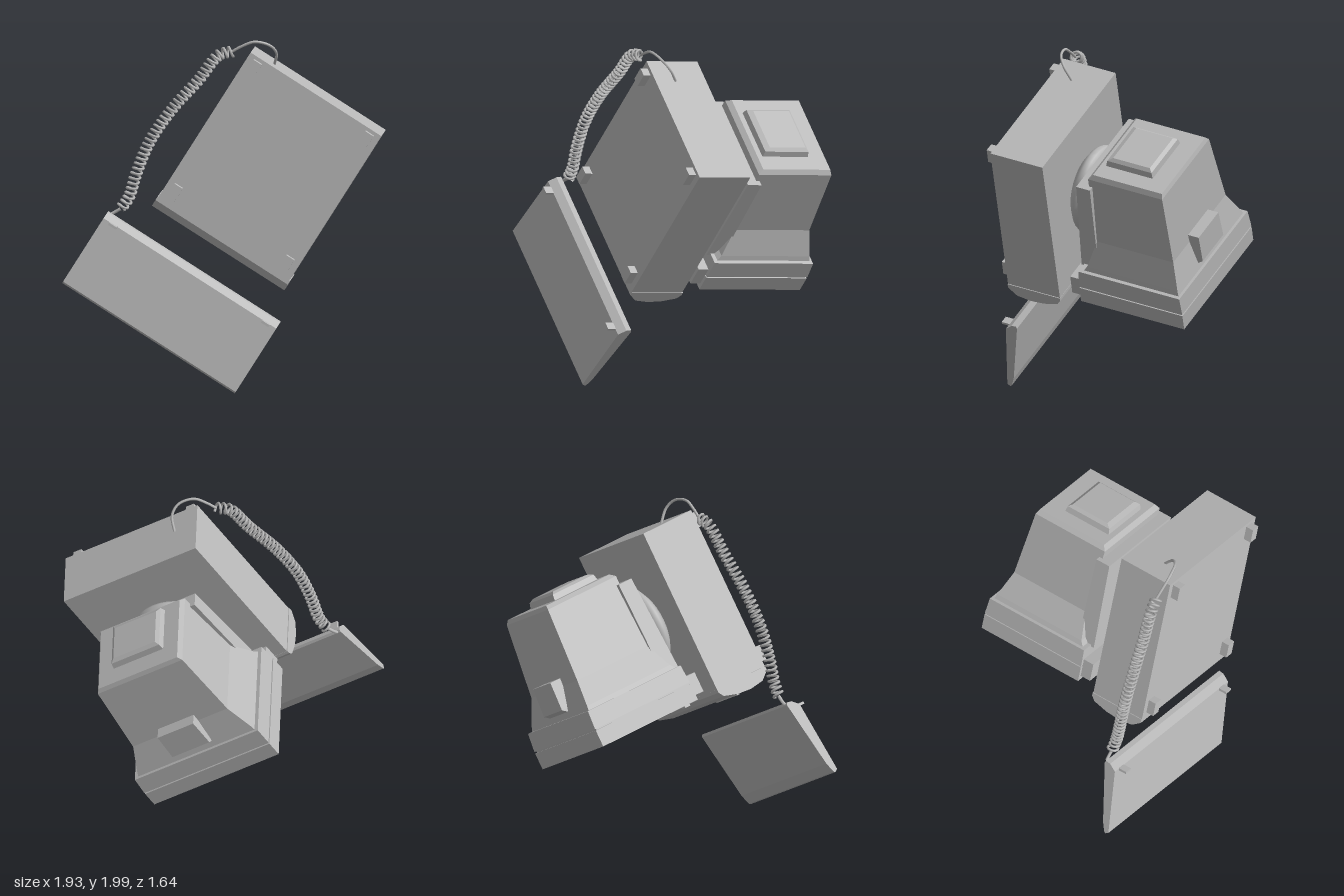
import * as THREE from 'three';

const grey = new THREE.MeshStandardMaterial({ color: 0xb8b8b8 });
grey.name = 'office grey';

function add(parent, name, geometry, x = 0, y = 0, z = 0) {
  const mesh = new THREE.Mesh(geometry, grey);
  mesh.name = name;
  mesh.position.set(x, y, z);
  parent.add(mesh);
  return mesh;
}

const box = (w, h, d) => new THREE.BoxGeometry(w, h, d);

// Closed faceted solid through rectangles [z, halfWidth, bottom, top], back to front
function loft(sections) {
  const rings = sections.map(([z, w, y0, y1]) => [[w, y0, z], [w, y1, z], [-w, y1, z], [-w, y0, z]]);
  const pos = [];
  const quad = (a, b, c, d) => pos.push(...a, ...b, ...c, ...a, ...c, ...d);
  for (let i = 0; i + 1 < rings.length; i++) {
    const a = rings[i], b = rings[i + 1];
    for (let j = 0; j < 4; j++) {
      const k = (j + 1) % 4;
      quad(a[j], a[k], b[k], b[j]);
    }
  }
  const first = rings[0], last = rings[rings.length - 1];
  quad(...last);
  quad(first[3], first[2], first[1], first[0]);
  const g = new THREE.BufferGeometry();
  g.setAttribute('position', new THREE.Float32BufferAttribute(pos, 3));
  g.computeVertexNormals();
  return g;
}

// Side profile of [z, y] points pulled across the width
function sideExtrude(points, width) {
  const shape = new THREE.Shape(points.map(([z, y]) => new THREE.Vector2(z, y)));
  const g = new THREE.ExtrudeGeometry(shape, { depth: width, bevelEnabled: false });
  return g.rotateY(-Math.PI / 2).translate(width / 2, 0, 0);
}

function buildCase() {
  const unit = new THREE.Group();
  unit.name = 'computerCase';
  add(unit, 'caseBody', box(0.89, 0.34, 0.99), 0, 0.17, -0.01);
  // Bulging front fascia
  add(unit, 'frontFascia', sideExtrude([[0.485, 0], [0.51, 0], [0.555, 0.055], [0.567, 0.142],
    [0.56, 0.23], [0.535, 0.32], [0.505, 0.342], [0.485, 0.342]], 0.9));
  add(unit, 'driveSlot', box(0.28, 0.02, 0.008), 0.22, 0.19, 0.565);
  for (const sx of [-1, 1]) {
    for (const z of [-0.44, 0.41]) add(unit, 'foot', box(0.055, 0.05, 0.09), sx * 0.38, -0.022, z);
  }
  return unit;
}

function buildMonitor() {
  const unit = new THREE.Group();
  unit.name = 'monitor';
  // Swivel stand
  const profile = [[0, 0.335], [0.2, 0.335], [0.25, 0.37], [0.26, 0.39], [0.26, 0.42], [0.22, 0.45], [0, 0.47]];
  add(unit, 'swivelStand', new THREE.LatheGeometry(profile.map(p => new THREE.Vector2(...p)), 32));
  add(unit, 'undersidePanel', loft([[-0.3, 0.32, 0.47, 0.56], [0.28, 0.34, 0.45, 0.56]]));
  // Tapered housing flaring out to the bezel
  add(unit, 'housing', loft([
    [-0.375, 0.265, 0.56, 1.01], [-0.35, 0.285, 0.535, 1.02], [0.088, 0.318, 0.56, 1.06],
    [0.24, 0.383, 0.515, 1.105], [0.275, 0.395, 0.49, 1.115],
  ]));
  add(unit, 'rearBulge', loft([[-0.425, 0.14, 0.63, 0.87], [-0.41, 0.16, 0.6, 0.89], [-0.36, 0.17, 0.59, 0.9]]));
  add(unit, 'topHump', loft([[0.04, 0.12, 1, 1.125], [0.21, 0.125, 1, 1.135], [0.235, 0.125, 1, 1.1]]));
  // Bezel in two halves with a seam between
  add(unit, 'rearBezel', loft([[0.268, 0.415, 0.47, 1.13], [0.378, 0.42, 0.465, 1.14]]));
  add(unit, 'bezelSeam', box(0.825, 0.66, 0.02), 0, 0.8, 0.382);
  const frame = new THREE.Shape([[-0.42, 0.465], [0.42, 0.465], [0.42, 1.14], [-0.42, 1.14]]
    .map(p => new THREE.Vector2(...p)));
  frame.holes.push(new THREE.Path([[-0.33, 0.57], [-0.33, 1.06], [0.33, 1.06], [0.33, 0.57]]
    .map(p => new THREE.Vector2(...p))));
  add(unit, 'frontBezel', new THREE.ExtrudeGeometry(frame, { depth: 0.1, bevelEnabled: false }), 0, 0, 0.388);
  // Gently domed glass
  const glass = new THREE.PlaneGeometry(0.66, 0.49, 16, 12);
  const p = glass.attributes.position;
  for (let i = 0; i < p.count; i++) {
    const u = p.getX(i) / 0.33, v = p.getY(i) / 0.245;
    p.setZ(i, 0.055 - 0.03 * u * u - 0.02 * v * v);
  }
  glass.computeVertexNormals();
  add(unit, 'screenGlass', glass, 0, 0.815, 0.395);
  // Chin with controls
  add(unit, 'chin', box(0.8, 0.07, 0.12), 0, 0.435, 0.4);
  for (let i = 0; i < 4; i++) add(unit, 'controlButton', box(0.035, 0.02, 0.012), -0.06 + i * 0.06, 0.515, 0.491);
  add(unit, 'powerButton', box(0.05, 0.035, 0.02), 0.34, 0.515, 0.492);
  return unit;
}

function buildKeyboard() {
  const unit = new THREE.Group();
  unit.name = 'keyboard';
  unit.position.x = 0.057;
  add(unit, 'keyboardWedge', sideExtrude([[0.725, 0.04], [0.76, 0.0], [1.19, -0.04], [1.202, -0.022],
    [1.195, -0.012], [1.135, 0.008], [0.735, 0.076], [0.72, 0.07]], 1.175));
  for (const sx of [-1, 1]) {
    add(unit, 'keyboardFoot', box(0.05, 0.06, 0.014), sx * 0.52, -0.02, 0.765);
  }
  return unit;
}

// Plain lead from the case, then a coiled run down to the keyboard
function buildCord() {
  const cord = new THREE.Group();
  cord.name = 'keyboardCord';
  const curve = pts => new THREE.CatmullRomCurve3(pts.map(q => new THREE.Vector3(...q)));
  const lead = curve([[0.075, 1.83, 0.2], [0.05, 1.91, 0.24], [0, 1.965, 0.235], [-0.07, 1.99, 0.18],
    [-0.12, 1.96, 0.12], [-0.15, 1.93, 0.08]]);
  add(cord, 'lead', new THREE.TubeGeometry(lead, 30, 0.008, 6));
  const axis = curve([[-0.15, 1.93, 0.08], [-0.21, 1.91, 0.03], [-0.3, 1.77, -0.04], [-0.42, 1.6, -0.137],
    [-0.52, 1.41, -0.22], [-0.58, 1.22, -0.27], [-0.61, 1.08, -0.3], [-0.64, 1.01, -0.335]]);
  const turns = 38, steps = turns * 10;
  const frames = axis.computeFrenetFrames(steps);
  const coil = [];
  for (let i = 0; i <= steps; i++) {
    const angle = (i / 10) * Math.PI * 2;
    coil.push(axis.getPointAt(i / steps)
      .addScaledVector(frames.normals[i], 0.03 * Math.cos(angle))
      .addScaledVector(frames.binormals[i], 0.03 * Math.sin(angle)));
  }
  add(cord, 'coil', new THREE.TubeGeometry(new THREE.CatmullRomCurve3(coil), steps, 0.008, 5));
  const plug = curve([[-0.64, 1.01, -0.335], [-0.66, 0.99, -0.36], [-0.68, 0.975, -0.38]]);
  add(cord, 'plugLead', new THREE.TubeGeometry(plug, 6, 0.01, 6));
  return cord;
}

export function createModel() {
  const model = new THREE.Group();
  model.name = 'desktopComputer';
  // The whole set tumbles through the air as one
  const set = new THREE.Group();
  set.name = 'tumblingSet';
  set.add(buildCase(), buildMonitor(), buildKeyboard());
  const across = new THREE.Vector3(-0.467, 0.514, -0.718).normalize();
  const up = new THREE.Vector3(0.76, -0.18, -0.622);
  const forward = new THREE.Vector3().crossVectors(across, up).normalize();
  up.crossVectors(forward, across);
  set.quaternion.setFromRotationMatrix(new THREE.Matrix4().makeBasis(across, up, forward));
  set.position.set(-0.1175, 1.28, 0.341);
  model.add(set, buildCord());
  return model;
}
